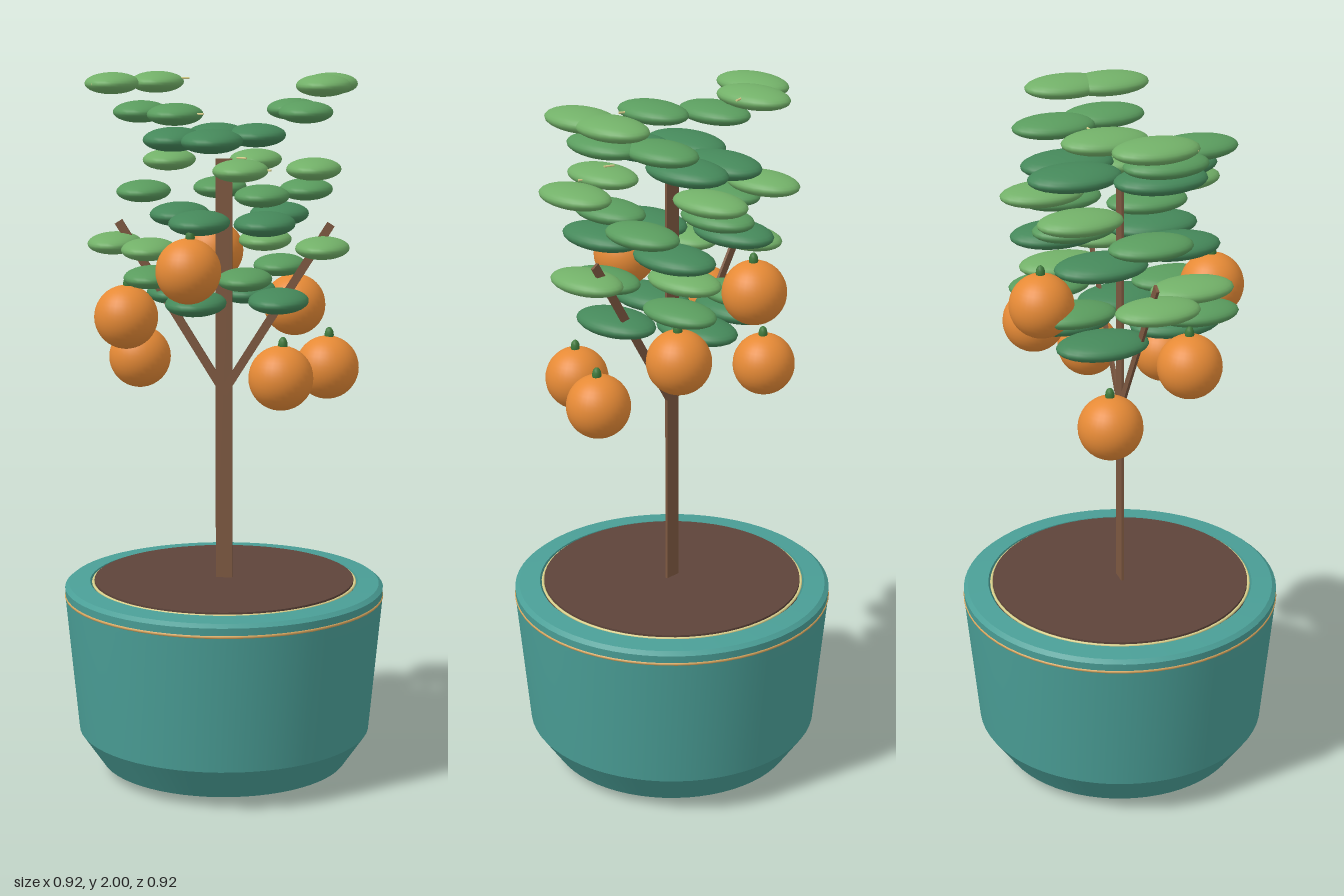
import * as THREE from 'three';
import { toCreasedNormals } from 'three/addons/utils/BufferGeometryUtils.js';

const mat = (color, side = THREE.FrontSide) => new THREE.MeshStandardMaterial({ color, side });

export function createModel() {
  const model = new THREE.Group();
  const teal = mat(0x4a9e96, THREE.DoubleSide);
  const soilMat = mat(0x5e443a);
  const bark = mat(0x7d5840);
  const gold = mat(0xd9a860);
  const cream = mat(0xd8d08c);
  const orange = mat(0xe68a36);
  const stalkGreen = mat(0x3f7a3c);
  const leafMats = [mat(0x72b068), mat(0x5a9c5e), mat(0x45885a)]; // light, mid, dark

  const add = (name, geometry, material, x = 0, y = 0, z = 0, parent = model) => {
    const mesh = new THREE.Mesh(geometry, material);
    mesh.name = name;
    mesh.position.set(x, y, z);
    parent.add(mesh);
    return mesh;
  };

  // Pot: closed wall profile with a drainage hole in the base
  const profile = [
    [0.21, 0.08], [0.24, 0.005], [0.245, 0], [0.355, 0.03], [0.42, 0.125], [0.455, 0.5],
    [0.457, 0.545], [0.445, 0.555], [0.385, 0.56], [0.37, 0.5], [0.34, 0.12], [0.21, 0.08],
  ].map(([r, y]) => new THREE.Vector2(r, y));
  add('pot', toCreasedNormals(new THREE.LatheGeometry(profile, 64), 0.35), teal);

  // Rings on the pot and around the soil
  const ring = (name, r, tube, y, material) =>
    add(name, new THREE.TorusGeometry(r, tube, 8, 64), material, 0, y, 0).rotateX(Math.PI / 2);
  ring('potBand', 0.4535, 0.005, 0.52, gold);
  ring('soilTrim', 0.376, 0.004, 0.557, cream);

  add('soil', new THREE.CylinderGeometry(0.372, 0.372, 0.03, 64), soilMat, 0, 0.55, 0);

  // Flat trunk and two flat branches
  add('trunk', new THREE.BoxGeometry(0.047, 1.21, 0.008), bark, 0, 1.16, 0);
  for (const side of [-1, 1]) {
    const branch = add('branch', new THREE.BoxGeometry(0.024, 0.57, 0.008), bark, side * 0.148, 1.345, 0);
    branch.rotation.z = -side * Math.atan2(0.3, 0.48);
  }

  // Fruit with little green stalks
  const fruitGeo = new THREE.SphereGeometry(0.089, 32, 20);
  const stalkGeo = new THREE.SphereGeometry(0.013, 12, 8).scale(1, 1.7, 1);
  const fruits = [
    [-0.065, 1.48, -0.245], [-0.065, 1.48, 0.245], [-0.26, 1.333, 0.11], [0.18, 1.333, -0.195],
    [0.182, 1.185, 0.195], [-0.26, 1.185, -0.115], [0.292, 1.185, 0],
  ];
  for (const [x, y, z] of fruits) {
    const fruit = new THREE.Group();
    fruit.name = 'fruit';
    fruit.position.set(x, y, z);
    add('fruitBody', fruitGeo, orange, 0, 0, 0, fruit);
    add('fruitStalk', stalkGeo, stalkGreen, 0.005, 0.092, 0, fruit);
    model.add(fruit);
  }

  // Tiers of flat oval leaves from the top down, each leaf given as x, z
  const tiers = [
    [[-0.315, -0.01], [-0.205, -0.11], [0.29, -0.06], [0.28, 0.06]],
    [[-0.11, 0.175], [-0.225, 0.05], [0.18, -0.13], [0.23, 0.03]],
    [[-0.04, -0.14], [0.075, -0.125], [-0.015, 0.14], [-0.13, 0.07]],
    [[-0.18, -0.17], [0.065, -0.2], [0.07, 0.195], [0.26, 0.11]],
    [[-0.225, 0.01], [-0.03, -0.14], [0.12, 0.12], [0.22, -0.1]],
    [[-0.14, -0.1], [-0.05, 0.14], [0.13, 0.14], [0.14, -0.14]],
    [[-0.31, 0], [-0.19, 0.14], [0.1, -0.14], [0.28, 0.05]],
    [[-0.18, 0.16], [-0.09, -0.16], [0.08, 0.18], [0.14, -0.16]],
    [[-0.15, -0.1], [-0.06, 0.14], [0.05, -0.14], [0.16, 0.06]],
  ];
  const leafGeo = new THREE.SphereGeometry(1, 24, 16);
  tiers.forEach((tier, i) => {
    const dark = i % 3 === 2;
    for (const [x, z] of tier) {
      const leaf = add('leaf', leafGeo, leafMats[i % 3], x, 1.97 - i * 0.074, z);
      leaf.scale.set(dark ? 0.084 : 0.075, dark ? 0.033 : 0.03, dark ? 0.13 : 0.117);
    }
  });

  // Short pale twigs poking out between the leaves
  const twigGeo = new THREE.CylinderGeometry(0.003, 0.003, 0.03, 6).rotateZ(Math.PI / 2);
  const twigs = [
    [-0.34, 1.97, 0.085], [-0.28, 1.975, -0.09], [-0.13, 1.98, -0.125], [-0.178, 1.9, 0.13],
    [-0.04, 1.9, 0.22], [0.07, 1.78, 0.17], [0.14, 1.75, 0.2], [0.205, 1.9, 0.125],
  ];
  twigs.forEach(([x, y, z], i) => {
    add('twig', twigGeo, cream, x, y, z).rotation.y = i < 3 ? 0.2 : -0.4;
  });

  return model;
}
